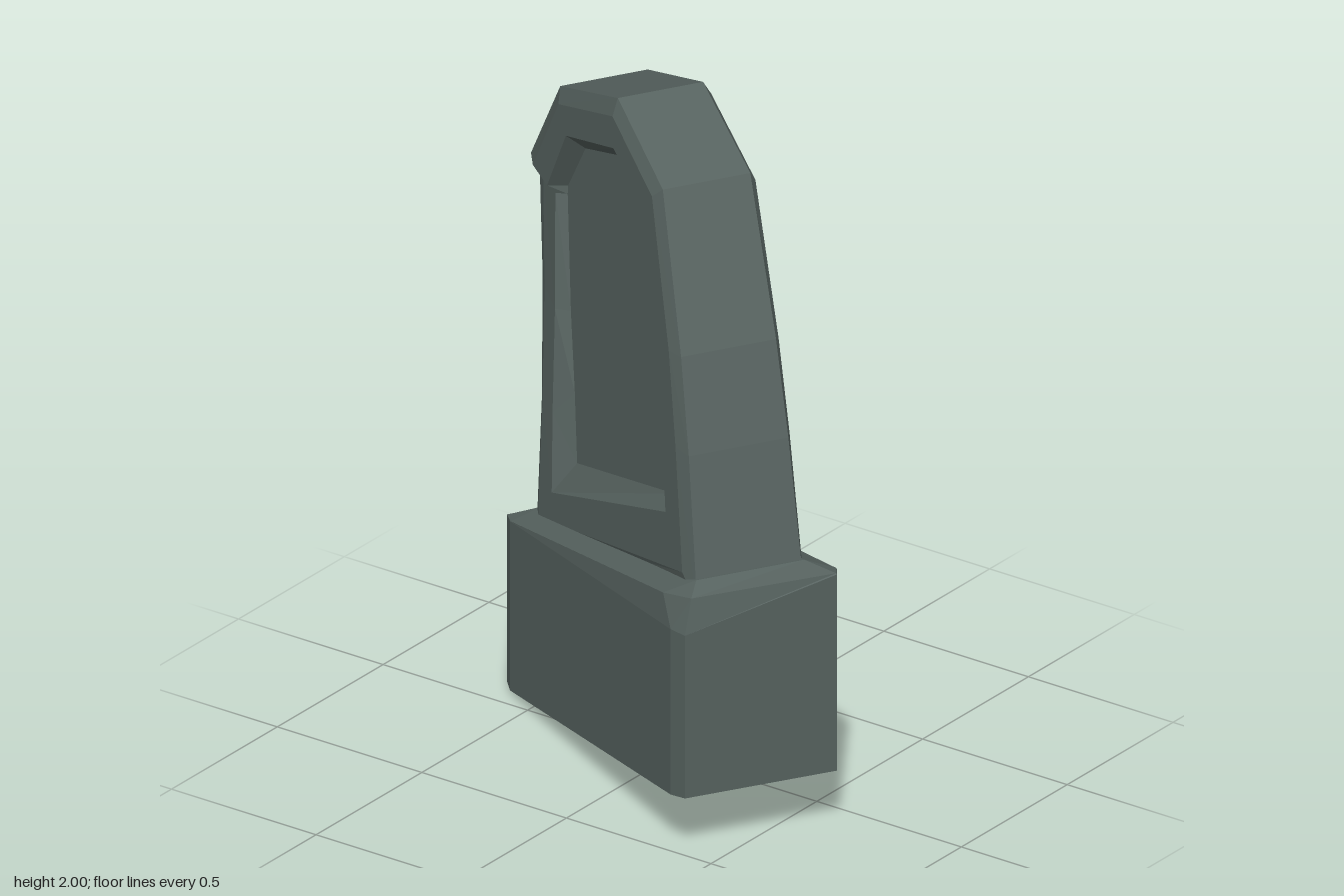
import * as THREE from 'three';

const stone = new THREE.MeshStandardMaterial({ color: 0x56625f, flatShading: true });

// Skins a stack of equal-length loops and closes both ends.
function loft(name, loops) {
  const n = loops[0].length;
  const pos = [];
  const tri = (a, b, c) => pos.push(...a, ...b, ...c);
  for (let i = 0; i < loops.length - 1; i++) {
    for (let j = 0; j < n; j++) {
      const k = (j + 1) % n;
      const a = loops[i][j], b = loops[i][k], c = loops[i + 1][k], d = loops[i + 1][j];
      tri(a, b, c);
      tri(a, c, d);
    }
  }
  const cap = (loop, flip) => {
    const mid = [0, 1, 2].map(q => loop.reduce((s, p) => s + p[q], 0) / n);
    loop.forEach((p, j) => {
      const r = loop[(j + 1) % n];
      if (flip) tri(mid, r, p);
      else tri(mid, p, r);
    });
  };
  cap(loops[0], true);
  cap(loops[loops.length - 1], false);
  const geo = new THREE.BufferGeometry();
  geo.setAttribute('position', new THREE.Float32BufferAttribute(pos, 3));
  geo.computeVertexNormals();
  const mesh = new THREE.Mesh(geo, stone);
  mesh.name = name;
  return mesh;
}

// Plinth: sloping block with cut corners and one chipped front corner.
function createPlinth() {
  const plan = [
    [-0.625, 0.228], [-0.547, 0.253], [0.562, 0.253], [0.618, 0.234],
    [0.626, -0.226], [0.572, -0.25], [-0.548, -0.25], [-0.62, -0.232],
  ];
  const chip = { 2: [0.485, 0.24], 3: [0.604, 0.206] };
  const rimY = u => 0.655 + 0.218 * u;
  const bottom = plan.map(([u, w]) => [u, 0.091 + 0.147 * u, w]);
  const shoulder = plan.map(([u, w], i) => [u, chip[i] ? 0.685 : rimY(u) - 0.002, w]);
  const rim = plan.map((p, i) => {
    const [u, w] = chip[i] || p;
    return [u * 0.992, rimY(u), w];
  });
  const top = plan.map(([u, w]) => {
    const x = Math.sign(u) * 0.54;
    return [x, 0.687 + 0.227 * x, Math.sign(w) * 0.165];
  });
  return loft('plinth', [bottom, shoulder, rim, top]);
}

// Upright slab: leaning outline, bevelled back, raised frame and sunk panel.
function createSlab() {
  const outline = [
    [-0.538, 0.5], [0.548, 0.74], [0.45, 1.15], [0.37, 1.42], [0.2, 1.86], [-0.125, 2],
    [-0.51, 1.87], [-0.685, 1.59], [-0.675, 1.55], [-0.611, 1.25], [-0.559, 0.9],
  ];
  const panelEdge = [
    [-0.41, 0.67], [0.35, 0.94], [0.3, 1.18], [0.24, 1.43], [0.11, 1.77], [-0.1, 1.86],
    [-0.42, 1.76], [-0.53, 1.56], [-0.525, 1.535], [-0.48, 1.2], [-0.445, 0.9],
  ];
  const panelFloor = [
    [-0.364, 0.77], [0.29, 0.96], [0.245, 1.2], [0.185, 1.45], [0.075, 1.73], [-0.133, 1.81],
    [-0.4, 1.72], [-0.505, 1.56], [-0.505, 1.535], [-0.45, 1.2], [-0.4, 0.97],
  ];
  // Worn lower left frame sits a little further back.
  const worn = { 8: 0.03, 9: 0.022, 10: 0.01 };
  const face = y => 0.198 - 0.0436 * y;
  const front = (pts, lift, wear) =>
    pts.map(([u, y], i) => [u, y, face(y) + lift - wear * (worn[i] || 0)]);
  const frame = outline.map(([u, y], i) => [
    u + (panelEdge[i][0] - u) * 0.35,
    y + (panelEdge[i][1] - y) * 0.35,
  ]);
  const back = outline.map(([u, y]) => [-0.08 + (u + 0.08) * 0.94, 1.2 + (y - 1.2) * 0.95, -0.173]);
  const backEdge = outline.map(([u, y]) => [u, y, -0.165 + 0.008 * y]);
  return loft('slab', [
    back, backEdge,
    front(outline, 0, 0.8), front(frame, 0.018, 1), front(panelEdge, 0.018, 0.8),
    front(panelFloor, -0.035, 0),
  ]);
}

export function createModel() {
  const model = new THREE.Group();
  model.name = 'gravestone';
  model.add(createPlinth(), createSlab());
  model.rotation.y = -Math.PI / 6;
  return model;
}
